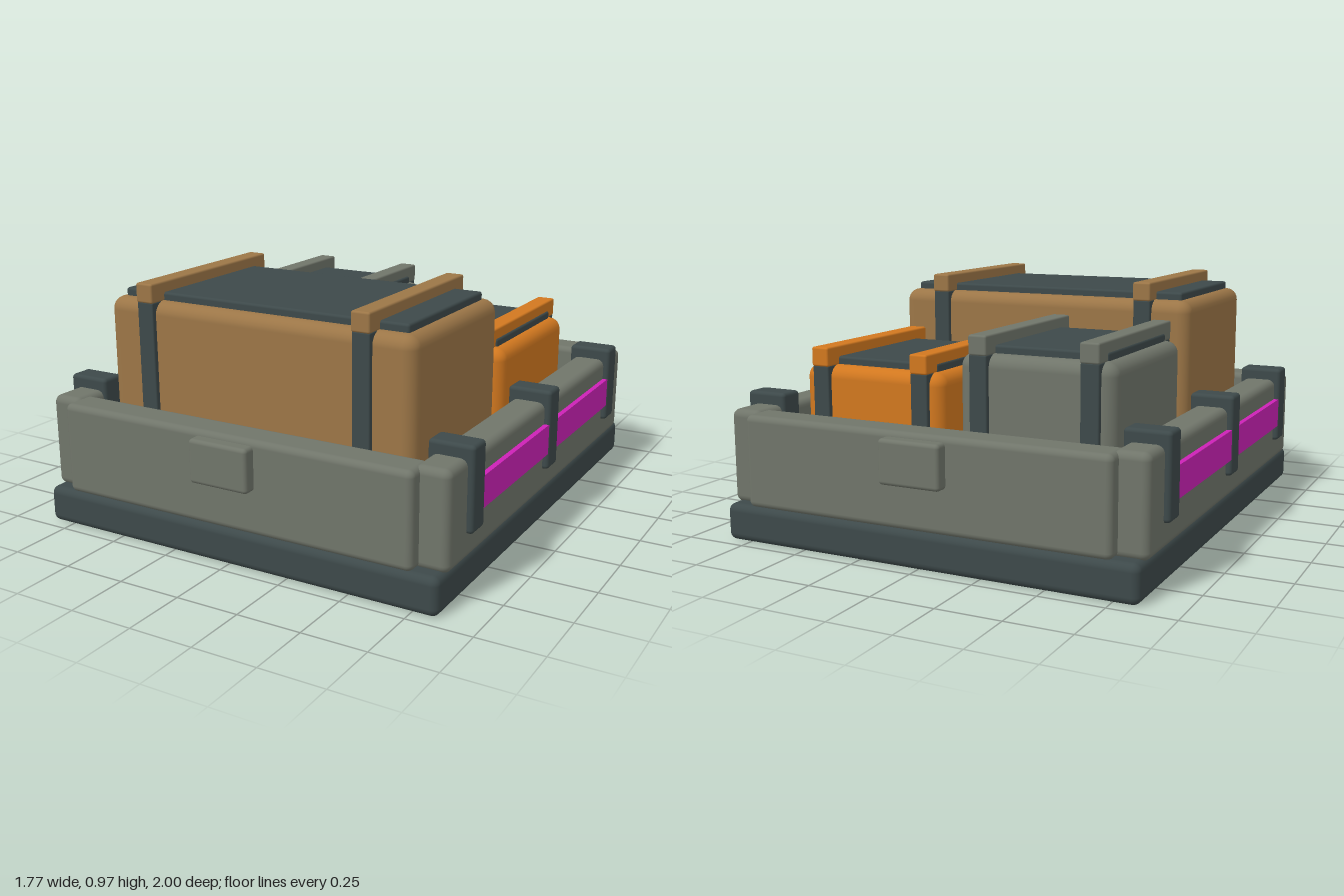
import * as THREE from 'three';
import { RoundedBoxGeometry } from 'three/addons/geometries/RoundedBoxGeometry.js';

const material = (name, color) => {
  const m = new THREE.MeshStandardMaterial({ color });
  m.name = name;
  return m;
};

export function createModel() {
  const grey = material('olive grey', 0x70756a);
  const dark = material('dark slate', 0x3d494a);
  const tan = material('tan', 0x9c7647);
  const orange = material('orange', 0xd2781f);
  const magenta = material('magenta', 0xcc22b6);

  const model = new THREE.Group();
  model.name = 'cargoTray';

  // Box given by its extents on each axis, with rounded edges if r > 0
  function box(parent, name, mat, [x0, x1], [y0, y1], [z0, z1], r = 0) {
    const size = [x1 - x0, y1 - y0, z1 - z0];
    const geo = r ? new RoundedBoxGeometry(...size, 3, r) : new THREE.BoxGeometry(...size);
    const mesh = new THREE.Mesh(geo, mat);
    mesh.name = name;
    mesh.position.set((x0 + x1) / 2, (y0 + y1) / 2, (z0 + z1) / 2);
    parent.add(mesh);
    return mesh;
  }
  const span = (centre, width) => [centre - width / 2, centre + width / 2];
  const mirrored = (side, a, b) => (side > 0 ? [a, b] : [-b, -a]);

  // Base and floor with dark seams
  box(model, 'base', dark, [-0.85, 0.85], [0, 0.145], [-0.96, 0.96], 0.03);
  box(model, 'floor', grey, [-0.74, 0.74], [0.13, 0.17], [-0.83, 0.83]);
  for (const x of [-0.47, -0.157, 0.157, 0.47]) {
    box(model, 'floorSeam', dark, span(x, 0.025), [0.168, 0.176], [-0.82, 0.82]);
  }

  for (const s of [1, -1]) {
    // End walls with a grip
    box(model, s > 0 ? 'frontWall' : 'backWall', grey,
      [-0.75, 0.75], [0.14, 0.5], mirrored(s, 0.81, 0.953), 0.025);
    box(model, s > 0 ? 'frontGrip' : 'backGrip', grey,
      [-0.125, 0.125], [0.312, 0.48], mirrored(s, 0.92, 1), 0.015);

    // Side walls with a coloured stripe and three clamps
    const side = s > 0 ? 'left' : 'right';
    box(model, side + 'Wall', grey, mirrored(s, 0.72, 0.86), [0.135, 0.505], [-0.9, 0.9], 0.03);
    box(model, side + 'Stripe', magenta, mirrored(s, 0.855, 0.88), [0.3, 0.42], [-0.7, 0.7]);
    for (const z of [-0.712, 0, 0.712]) {
      box(model, side + 'Clamp', dark, mirrored(s, 0.708, 0.884), [0.235, 0.553], span(z, 0.1), 0.015);
    }
  }

  // Strapped crate: rounded body, dark lid panel, two straps with coloured top bars
  function crate(name, mat, [x0, x1], top, [z0, z1], strapXs) {
    const group = new THREE.Group();
    group.name = name;
    model.add(group);
    box(group, 'body', mat, [x0, x1], [0.165, top], [z0, z1], 0.05);
    box(group, 'lid', dark, [x0 + 0.048, x1 - 0.048], [top - 0.02, top + 0.03], [z0 + 0.052, z1 - 0.052], 0.01);
    for (const x of strapXs) {
      box(group, 'strap', dark, span(x, 0.072), [0.17, top], [z0 - 0.018, z1 + 0.018], 0.006);
      box(group, 'strapBar', mat, span(x, 0.075), [top - 0.003, top + 0.072], [z0 - 0.022, z1 + 0.022], 0.008);
    }
  }
  crate('largeCrate', tan, [-0.66, 0.66], 0.897, [0.055, 0.768], [-0.466, 0.462]);
  crate('greyCrate', grey, [-0.656, -0.034], 0.755, [-0.7, -0.016], [-0.566, -0.127]);
  crate('orangeCrate', orange, [0.032, 0.654], 0.668, [-0.7, -0.016], [0.122, 0.562]);

  return model;
}
